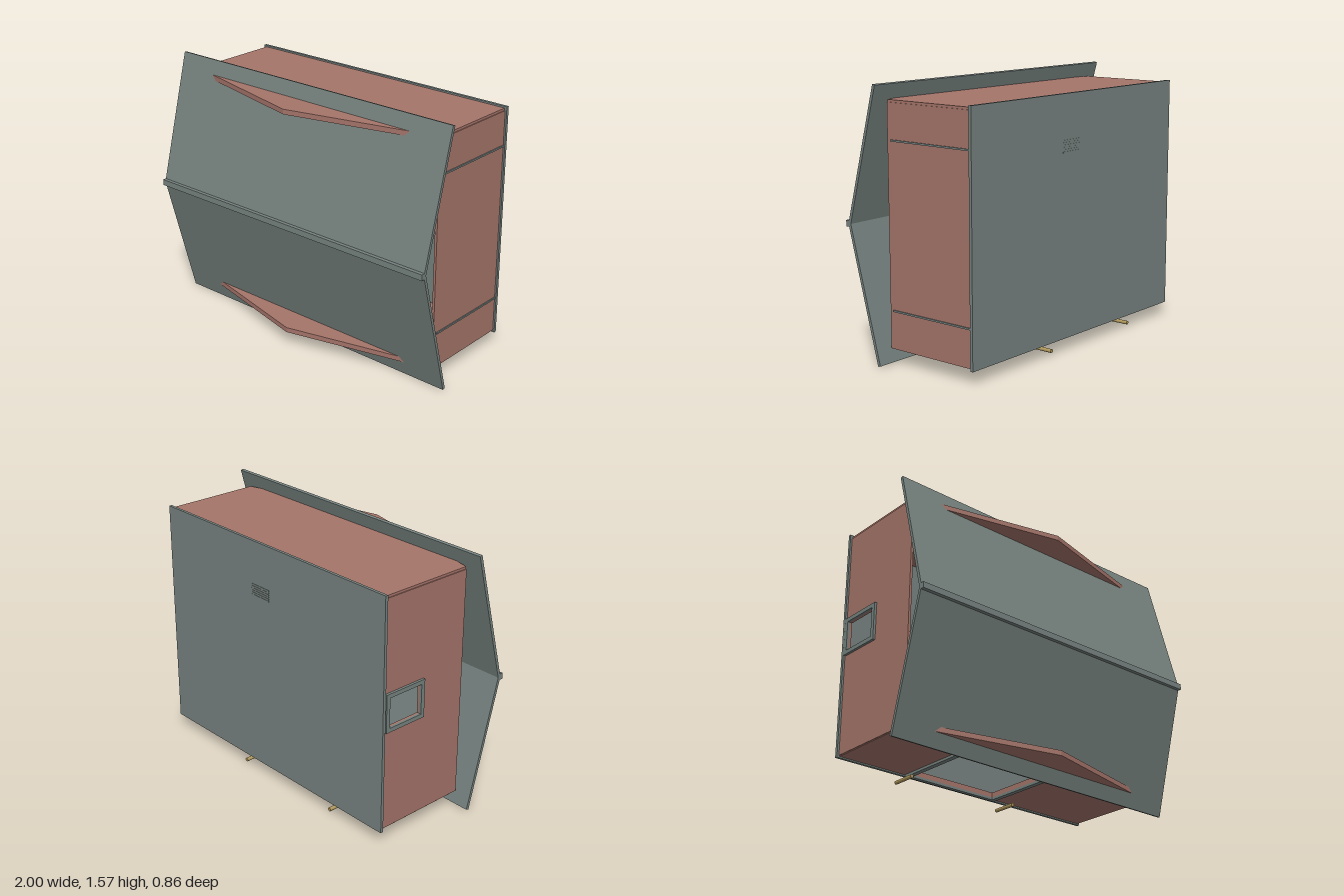
import * as THREE from 'three';

const mat = (name, color) => {
  const m = new THREE.MeshStandardMaterial({ color });
  m.name = name;
  return m;
};

export function createModel() {
  const copper = mat('copper', 0xa5756a);
  const grey = mat('slate grey', 0x76827f);
  const gold = mat('brass', 0xb0985c);
  const model = new THREE.Group();

  const add = (name, geometry, material, parent = model) => {
    const mesh = new THREE.Mesh(geometry, material);
    mesh.name = name;
    parent.add(mesh);
    return mesh;
  };
  // Box given by its minimum and maximum corners
  const box = (name, material, [x0, y0, z0], [x1, y1, z1], parent) => {
    const mesh = add(name, new THREE.BoxGeometry(x1 - x0, y1 - y0, z1 - z0), material, parent);
    mesh.position.set((x0 + x1) / 2, (y0 + y1) / 2, (z0 + z1) / 2);
    return mesh;
  };
  const polygon = (points) => points.map(([x, y]) => new THREE.Vector2(x, y));
  const rect = (x0, y0, x1, y1) => polygon([[x0, y0], [x1, y0], [x1, y1], [x0, y1]]);
  // Flat plate with optional rectangular hole
  const plate = (points, depth, hole) => {
    const shape = new THREE.Shape(points);
    if (hole) shape.holes.push(new THREE.Path(hole));
    return new THREE.ExtrudeGeometry(shape, { depth, bevelEnabled: false });
  };

  // Top and bottom plates with a pointed front that passes through the panels
  const pointed = polygon([[-0.905, -0.41], [0.905, -0.41], [0.905, 0.185], [0, 0.405], [-0.905, 0.185]]);
  const hatch = rect(-0.43, -0.38, 0.17, 0.09);
  const top = plate(pointed, 0.03).rotateX(Math.PI / 2);
  add('topPlate', top, copper).position.y = 1.487;
  const bottom = plate(pointed, 0.03, hatch).rotateX(Math.PI / 2);
  add('bottomPlate', bottom, copper).position.y = 0.125;

  // Side walls, the one at -x with a window
  box('leftWall', copper, [0.895, 0.1, -0.41], [0.91, 1.473, 0.185]);
  const wall = plate(rect(-0.41, 0.1, 0.185, 1.473), 0.015, rect(-0.38, 0.725, -0.145, 0.905));
  add('rightWall', wall.rotateY(-Math.PI / 2), copper).position.x = -0.895;

  // Window frame on the side wall
  const sideFrame = plate(rect(-0.405, 0.7, -0.12, 0.93), 0.015, rect(-0.38, 0.725, -0.145, 0.905));
  add('windowFrame', sideFrame.rotateY(-Math.PI / 2), grey).position.x = -0.91;

  // Hatch frame under the bottom plate, with its lip
  const hatchFrame = plate(rect(-0.46, -0.405, 0.2, 0.12), 0.015, hatch);
  add('hatchFrame', hatchFrame.rotateX(Math.PI / 2), grey).position.y = 0.095;
  box('hatchLip', grey, [-0.46, 0.069, 0.095], [0.2, 0.082, 0.12]);

  // Brass hinge pins and knob
  for (const x of [0.245, -0.505]) {
    const pin = add('hingePin', new THREE.CylinderGeometry(0.011, 0.011, 0.15, 20).rotateX(Math.PI / 2), gold);
    pin.position.set(x, 0.041, -0.353);
  }
  box('hatchKnob', gold, [-0.15, 0.058, 0.11], [-0.11, 0.08, 0.13]);

  // Thin trim strips on the plain side
  for (const y of [1.267, 0.317]) {
    box('trimStrip', grey, [0.909, y - 0.005, -0.41], [0.917, y + 0.005, 0.16]);
  }

  // Back plate and small louvre
  box('backPlate', grey, [-0.922, 0.087, -0.428], [0.92, 1.497, -0.41]);
  const louvre = new THREE.Group();
  louvre.name = 'louvre';
  model.add(louvre);
  for (let i = 0; i < 6; i++) {
    const y = 1.165 + i * 0.013;
    box('louvreSlat', grey, [0, y, -0.43], [0.15, y + 0.007, -0.427], louvre);
  }

  // Two sloping front panels meeting at a ridge
  const tilt = Math.atan2(0.21, 0.78);
  for (const s of [1, -1]) {
    const panel = add(s > 0 ? 'upperFrontPanel' : 'lowerFrontPanel', new THREE.BoxGeometry(2, 0.81, 0.018), grey);
    panel.position.set(0, 0.791 + s * 0.39, 0.298);
    panel.rotation.x = -s * tilt;
  }
  box('ridgeBar', grey, [-1, 0.773, 0.405], [1, 0.809, 0.43]);

  // Small plate behind the ridge
  box('innerPlate', grey, [-0.065, 0.727, 0.28], [0.065, 0.855, 0.292]);

  return model;
}
